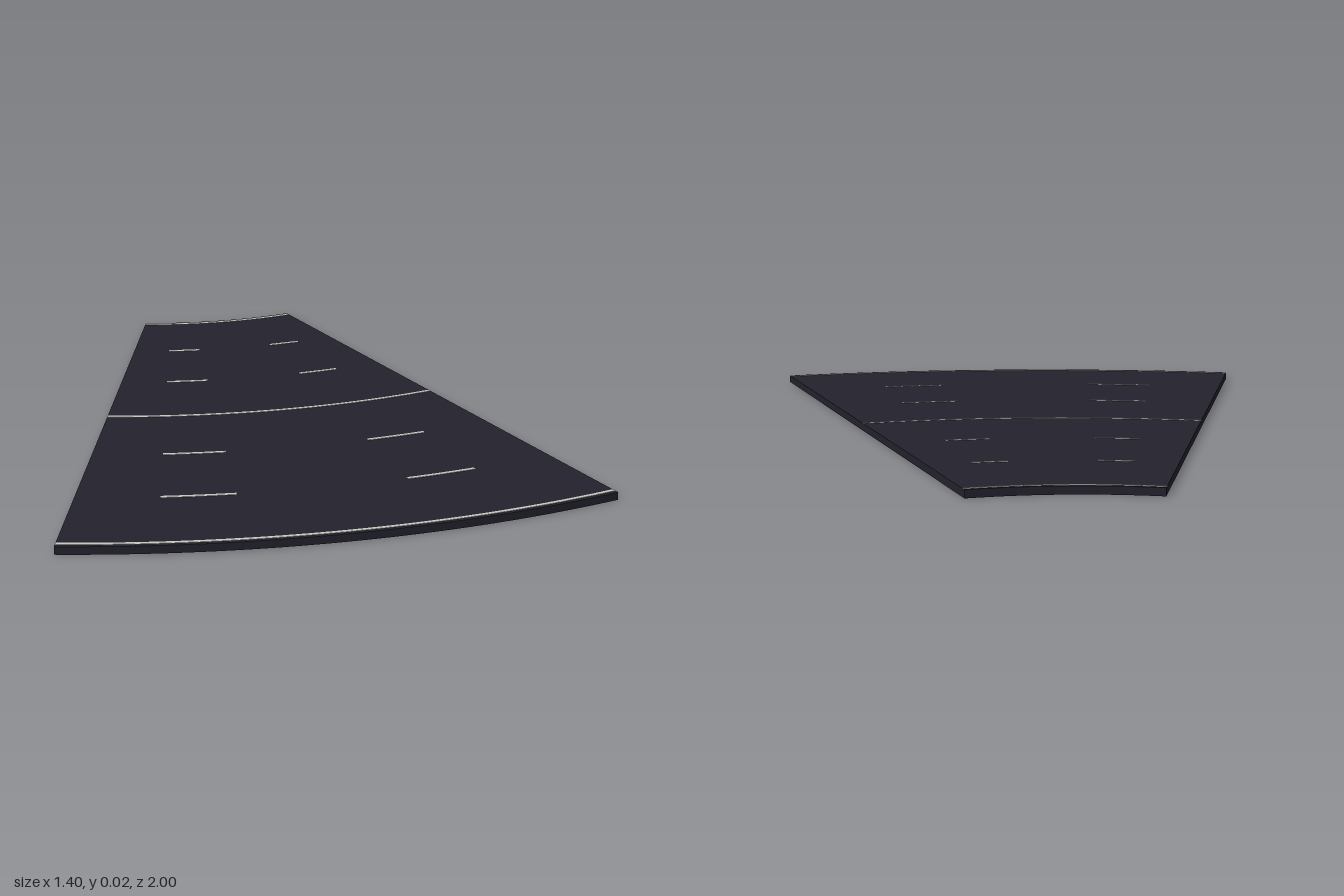
import * as THREE from 'three';

const CENTER_X = -0.70, CENTER_Z = -1.804; // centre of the curve
const INNER = 0.93, OUTER = 2.804, MIDDLE = 1.866, LANE = 0.312;
const THICKNESS = 0.021, PAINT = 0.001, LINE = 0.011;

// Slab shaped as a ring sector; angles in degrees measured from +z towards +x
function sector(inner, outer, from, to, top, height, segments) {
  const a = THREE.MathUtils.degToRad(90 - to), b = THREE.MathUtils.degToRad(90 - from);
  const shape = new THREE.Shape();
  shape.absarc(0, 0, outer, a, b, false);
  shape.absarc(0, 0, inner, b, a, true);
  const geometry = new THREE.ExtrudeGeometry(shape, { depth: height, bevelEnabled: false, curveSegments: segments });
  geometry.rotateX(Math.PI / 2);
  geometry.translate(CENTER_X, top, CENTER_Z);
  return geometry;
}

export function createModel() {
  const asphalt = new THREE.MeshStandardMaterial({ name: 'asphalt', color: 0x23222d });
  const paint = new THREE.MeshStandardMaterial({ name: 'linePaint', color: 0xc8c8c0 });
  const model = new THREE.Group();
  model.name = 'curvedRoad';

  const add = (name, geometry, material) => {
    const mesh = new THREE.Mesh(geometry, material);
    mesh.name = name;
    model.add(mesh);
  };
  const addLine = (name, radius, from, to, segments) =>
    add(name, sector(radius - LINE / 2, radius + LINE / 2, from, to, THICKNESS + PAINT, PAINT, segments), paint);

  // Road bed
  add('roadBed', sector(INNER, OUTER, 0, 30, THICKNESS, THICKNESS, 32), asphalt);

  // Solid edge and centre lines
  addLine('innerEdgeLine', INNER + 0.014, 0, 30, 32);
  addLine('centreLine', MIDDLE, 0, 30, 32);
  addLine('outerEdgeLine', OUTER - 0.017, 0, 30, 32);

  // Lane dashes, two per lane boundary
  for (const k of [-2, -1, 1, 2]) {
    for (const start of [5.1, 20.15]) {
      addLine('laneDash', MIDDLE + k * LANE, start, start + 4.5, 6);
    }
  }
  return model;
}
